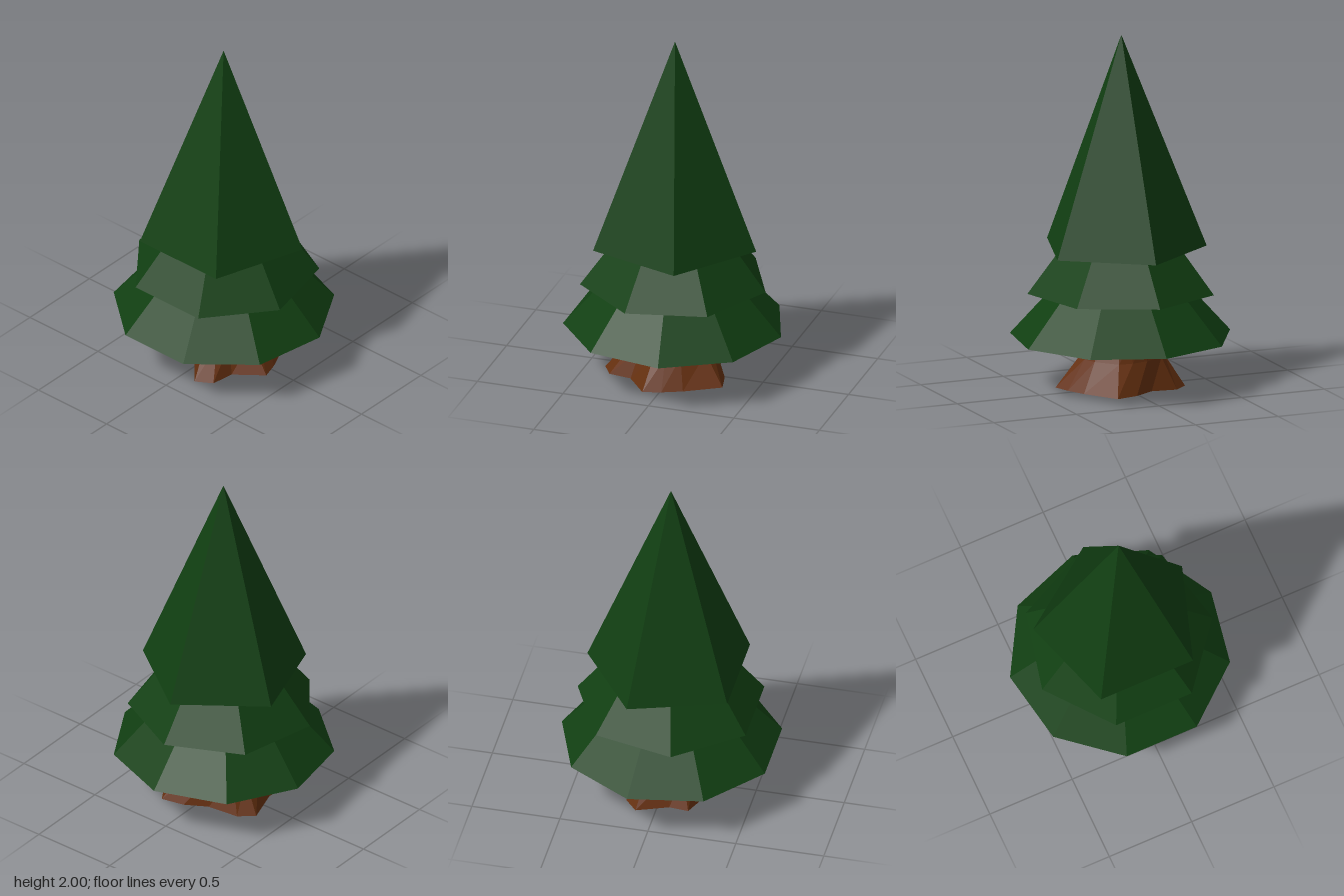
import * as THREE from 'three';

const CENTRE_Z = 0.015;

// Trunk cross-sections joined into a closed faceted skin
function skin(rings, capHeight) {
  const n = rings[0].length;
  const pos = rings.flat(2);
  const index = [];
  for (let r = 0; r < rings.length - 1; r++) {
    for (let i = 0; i < n; i++) {
      const a = r * n + i, b = r * n + (i + 1) % n;
      index.push(a, b, b + n, a, b + n, a + n);
    }
  }
  // Underside fan
  pos.push(0, capHeight, CENTRE_Z);
  const c = rings.length * n;
  for (let i = 0; i < n; i++) index.push(c, (i + 1) % n, i);
  // Top fan
  const top = (rings.length - 1) * n;
  pos.push(0, rings[rings.length - 1][0][1], CENTRE_Z);
  for (let i = 0; i < n; i++) index.push(c + 1, top + i, top + (i + 1) % n);

  const geo = new THREE.BufferGeometry();
  geo.setAttribute('position', new THREE.Float32BufferAttribute(pos, 3));
  geo.setIndex(index);
  geo.computeVertexNormals();
  return geo;
}

export function createModel() {
  const tree = new THREE.Group();
  tree.name = 'pineTree';

  const needles = new THREE.MeshStandardMaterial({ color: 0x113f12, flatShading: true });
  needles.name = 'needle green';
  const bark = new THREE.MeshStandardMaterial({ color: 0x642f0f, flatShading: true });
  bark.name = 'bark brown';

  // Foliage tiers: sides, radius, base height, tip height
  const tiers = [
    ['lowerFoliage', 9, 0.62, 0.29, 0.98],
    ['middleFoliage', 7, 0.53, 0.55, 1.25],
    ['upperFoliage', 5, 0.475, 0.79, 2.0],
  ];
  for (const [name, sides, radius, base, tip] of tiers) {
    const geo = new THREE.ConeGeometry(radius, tip - base, sides);
    geo.rotateY(Math.PI);
    const tier = new THREE.Mesh(geo, needles);
    tier.name = name;
    tier.position.set(0, (base + tip) / 2, CENTRE_Z);
    tree.add(tier);
  }

  // Root outline on the ground (x, z), running counter-clockwise from above
  const roots = [
    [0.37, 0.08], [0.34, -0.02], [0.29, -0.13], [0.17, -0.32], [0.04, -0.29],
    [-0.08, -0.22], [-0.25, -0.18], [-0.33, -0.11], [-0.28, 0.07], [-0.29, 0.18],
    [-0.17, 0.23], [0, 0.26], [0.11, 0.385], [0.2, 0.33], [0.22, 0.2],
  ];
  const dips = new Set([6, 7]); // one root reaches lower than the others

  // Each ring blends the root outline towards a round trunk
  const ring = (y, radius, blend) => roots.map(([x, z], i) => {
    const a = Math.atan2(z - CENTRE_Z, x);
    return [
      THREE.MathUtils.lerp(x, radius * Math.cos(a), blend),
      y === 0.015 && dips.has(i) ? 0 : y,
      THREE.MathUtils.lerp(z, CENTRE_Z + radius * Math.sin(a), blend),
    ];
  });
  const trunk = new THREE.Mesh(skin([
    ring(0.015, 0.2, 0),
    ring(0.18, 0.2, 0.75),
    ring(0.29, 0.18, 0.95),
    ring(0.45, 0.16, 1),
  ], 0.015), bark);
  trunk.name = 'trunkWithRoots';
  tree.add(trunk);

  return tree;
}
